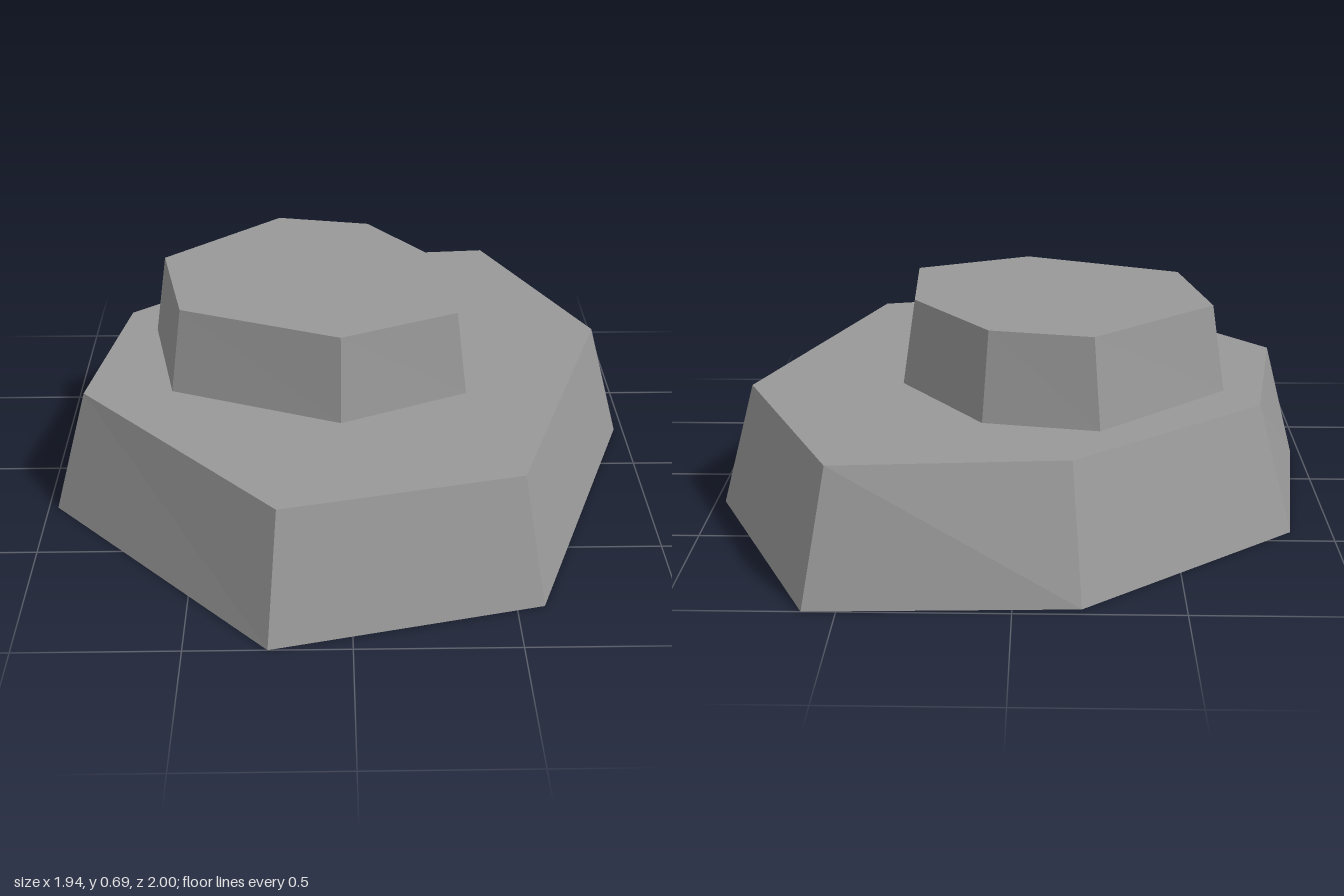
import * as THREE from 'three';

// Solid lofted between two matching outlines of [x, z] points, clockwise from above
function frustum(lower, upper, y0, y1) {
  const pos = [];
  const n = lower.length;
  const lo = lower.map(([x, z]) => [x, y0, z]);
  const hi = upper.map(([x, z]) => [x, y1, z]);
  const tri = (a, b, c) => pos.push(...a, ...b, ...c);
  for (let i = 0; i < n; i++) {
    const j = (i + 1) % n;
    tri(lo[i], hi[i], hi[j]);
    tri(lo[i], hi[j], lo[j]);
  }
  for (let i = 1; i < n - 1; i++) {
    tri(lo[0], lo[i], lo[i + 1]);
    tri(hi[0], hi[i + 1], hi[i]);
  }
  const geo = new THREE.BufferGeometry();
  geo.setAttribute('position', new THREE.Float32BufferAttribute(pos, 3));
  geo.computeVertexNormals();
  return geo;
}

export function createModel() {
  const group = new THREE.Group();
  group.name = 'steppedRock';
  const stone = new THREE.MeshStandardMaterial({ color: 0x999999 });
  stone.name = 'stone grey';

  const add = (name, lower, upper, y0, y1) => {
    const mesh = new THREE.Mesh(frustum(lower, upper, y0, y1), stone);
    mesh.name = name;
    group.add(mesh);
  };

  // Wide irregular seven-sided base
  add('lowerRock',
    [[-0.2, -0.97], [0.6, -1], [0.97, -0.23], [0.585, 0.805], [-0.25, 1], [-0.97, 0.245], [-0.87, -0.435]],
    [[-0.17, -0.853], [0.53, -0.907], [0.857, -0.23], [0.517, 0.712], [-0.219, 0.88], [-0.858, 0.197], [-0.76, -0.385]],
    0, 0.41);

  // Smaller off-centre block on top
  add('upperRock',
    [[-0.255, -0.623], [0.1, -0.56], [0.37, -0.2], [0.38, 0.215], [-0.027, 0.4], [-0.572, 0.187], [-0.66, -0.253]],
    [[-0.235, -0.58], [0.08, -0.52], [0.328, -0.195], [0.345, 0.195], [-0.027, 0.36], [-0.536, 0.16], [-0.617, -0.24]],
    0.41, 0.69);

  return group;
}
